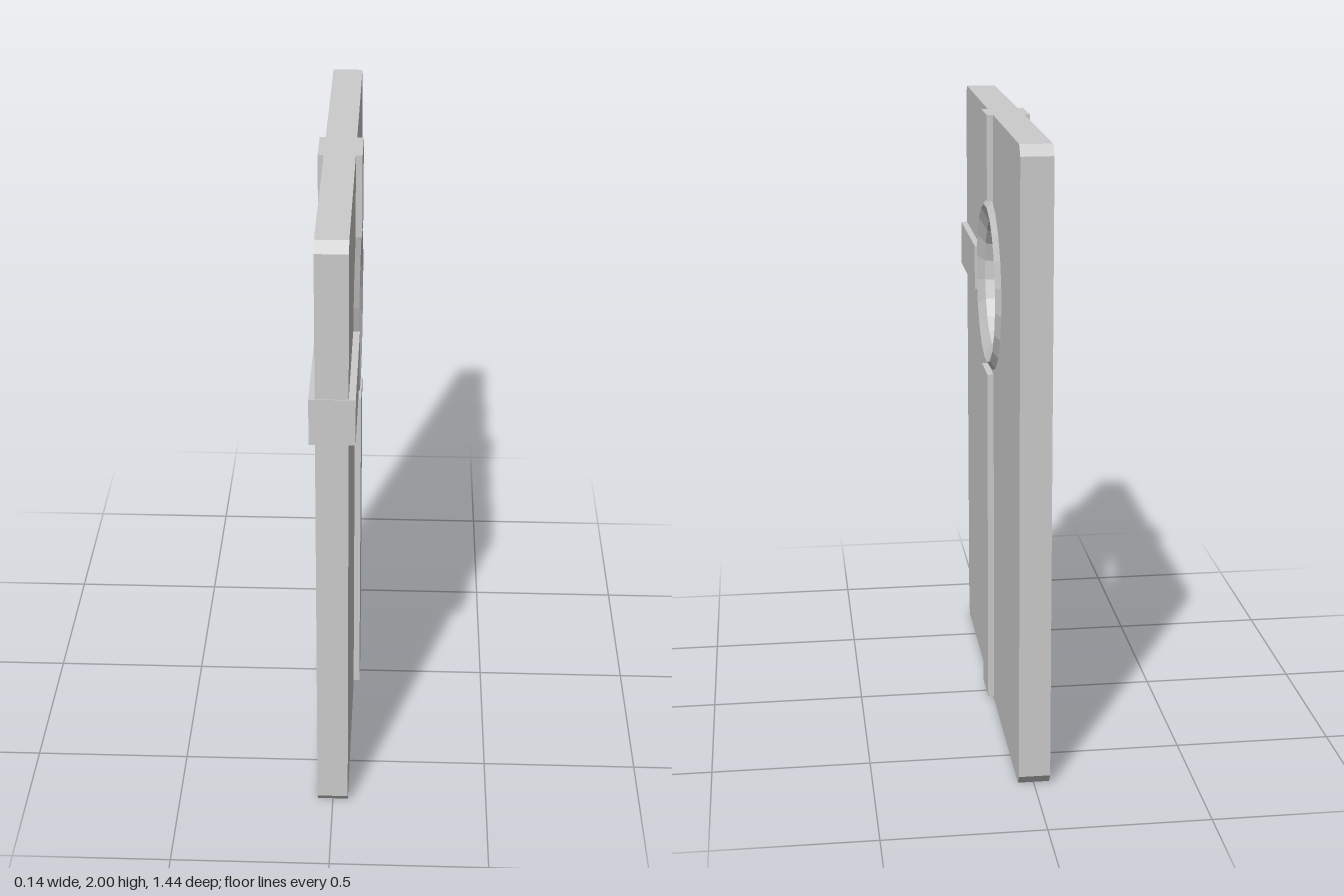
import * as THREE from 'three';

const HOLE_Y = 1.443;
const SIDES = 20;

export function createModel() {
  const group = new THREE.Group();
  const material = new THREE.MeshStandardMaterial({ color: 0xcccccc, flatShading: true });

  const add = (name, geometry, x = 0, y = 0, z = 0) => {
    const mesh = new THREE.Mesh(geometry, material);
    mesh.name = name;
    mesh.position.set(x, y, z);
    group.add(mesh);
    return mesh;
  };

  // Upright slab with clipped corners and a round opening
  const w = 0.717, cz = 0.025, cy = 0.032;
  const outline = new THREE.Shape([
    [-w + cz, 0], [w - cz, 0], [w, cy], [w, 2 - cy],
    [w - cz, 2], [-w + cz, 2], [-w, 2 - cy], [-w, cy],
  ].map(([a, b]) => new THREE.Vector2(a, b)));
  const hole = new THREE.Path();
  hole.absarc(0, HOLE_Y, 0.25, 0, Math.PI * 2, true);
  outline.holes.push(hole);
  const slab = new THREE.ExtrudeGeometry(outline, { depth: 0.098, bevelEnabled: false, curveSegments: SIDES });
  slab.translate(0, 0, -0.049);
  slab.rotateY(Math.PI / 2);
  add('slab', slab);

  // Bevelled ring lining the opening, raised on both faces
  const profile = [
    [0.293, -0.046], [0.293, 0.046], [0.258, 0.069], [0.21, 0.046],
    [0.197, 0], [0.21, -0.046], [0.258, -0.069], [0.293, -0.046],
  ].map(([r, h]) => new THREE.Vector2(r, h));
  const ring = new THREE.LatheGeometry(profile, SIDES);
  ring.rotateY(Math.PI / SIDES);
  ring.rotateZ(-Math.PI / 2);
  add('ring', ring, -0.003, HOLE_Y, 0);

  // Raised bands running from the ring to the edges: [name, y0, y1, z0, z1]
  const bands = [
    ['upperBand', 1.728, 2, -0.074, 0.074],
    ['lowerBand', 0.012, 1.155, -0.074, 0.074],
    ['frontBand', 1.36, 1.51, 0.287, 0.72],
  ];
  for (const [name, y0, y1, z0, z1] of bands) {
    add(name, new THREE.BoxGeometry(0.137, y1 - y0, z1 - z0), 0.001, (y0 + y1) / 2, (z0 + z1) / 2);
  }

  return group;
}
